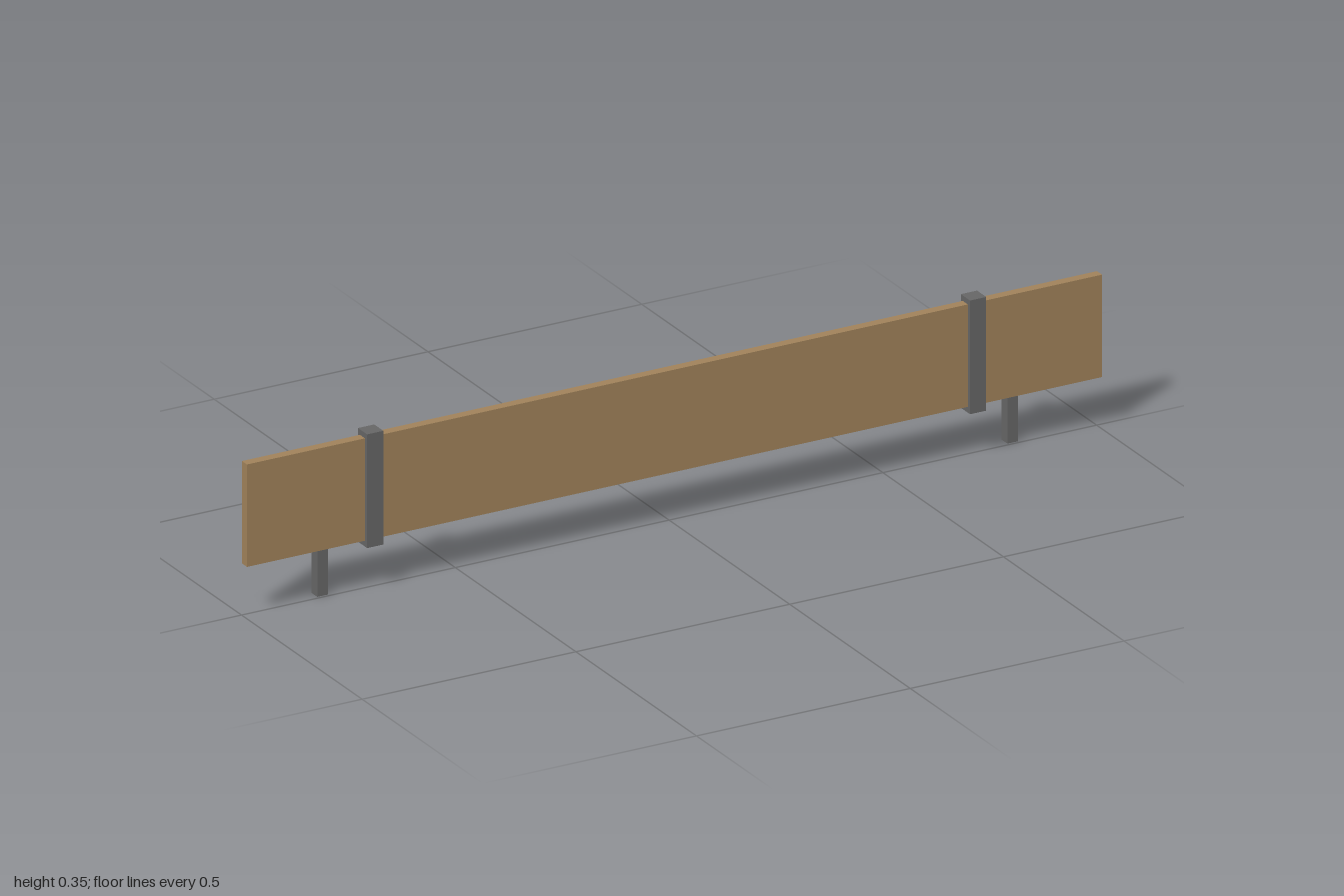
import * as THREE from 'three';

const wood = new THREE.MeshStandardMaterial({ color: 0xa0825a });
wood.name = 'wood';
const metal = new THREE.MeshStandardMaterial({ color: 0x666666 });
metal.name = 'dark metal';

function box(name, size, position, material) {
  const mesh = new THREE.Mesh(new THREE.BoxGeometry(...size), material);
  mesh.name = name;
  mesh.position.set(...position);
  return mesh;
}

export function createModel() {
  const group = new THREE.Group();
  group.name = 'plank';

  // Long upright board
  group.add(box('board', [2, 0.227, 0.021], [0, 0.2285, 0.012], wood));

  // Mirrored clamps around the board, and short posts behind it
  for (const [side, s] of [['left', 1], ['right', -1]]) {
    group.add(box(`${side}Clamp`, [0.038, 0.252, 0.038], [s * 0.705, 0.228, 0.0125], metal));
    group.add(box(`${side}Post`, [0.025, 0.202, 0.025], [s * 0.807, 0.101, -0.0185], metal));
  }
  return group;
}
